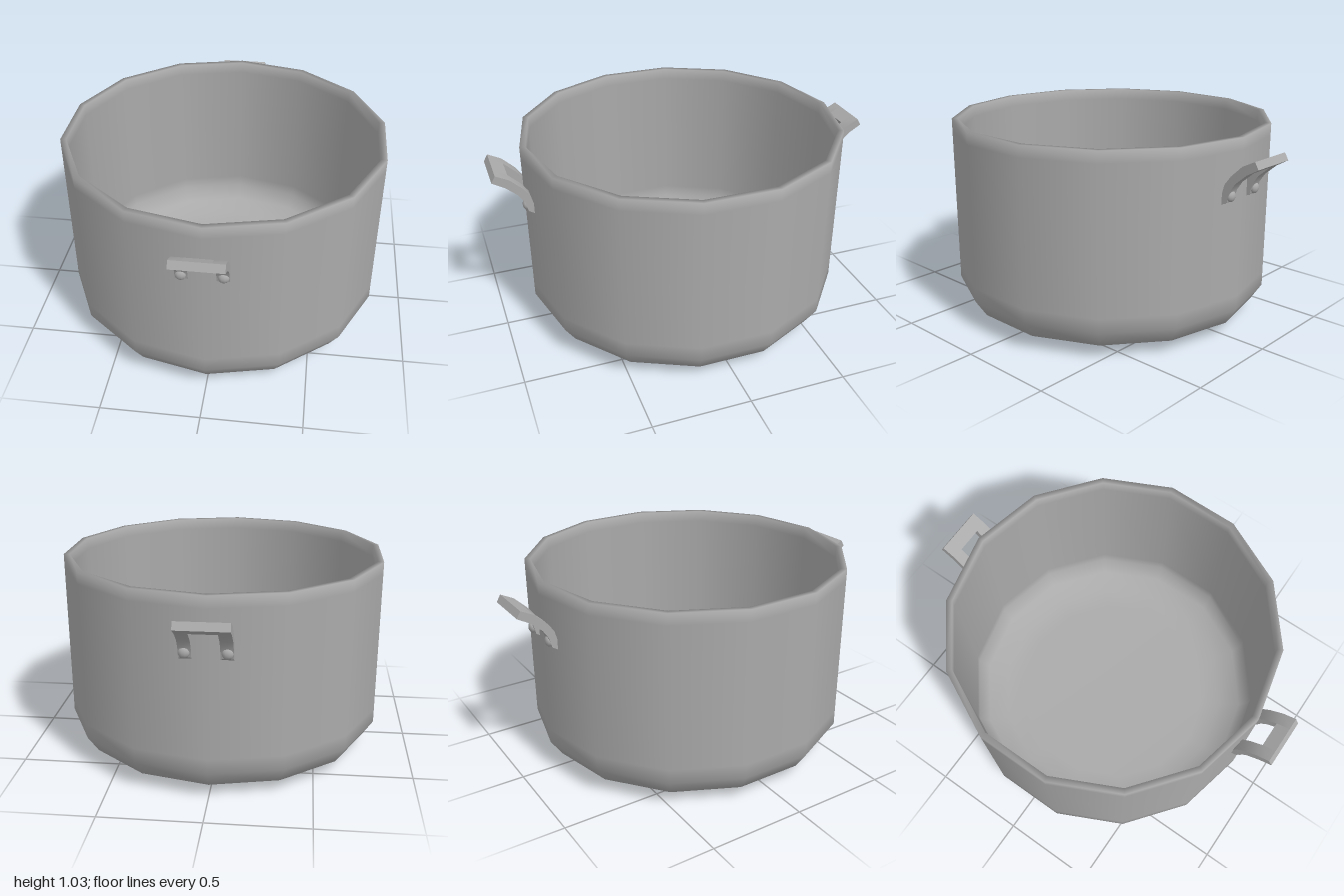
import * as THREE from 'three';
import { toCreasedNormals } from 'three/addons/utils/BufferGeometryUtils.js';

const SIDES = 14;

// Handle side curves as [z, y], from the outer tip down to the foot
const upperCurve = [[0.98, 0.96], [0.915, 0.927], [0.855, 0.87], [0.822, 0.825], [0.81, 0.78], [0.81, 0.725]];
const lowerCurve = [[1.0, 0.925], [0.94, 0.89], [0.88, 0.838], [0.852, 0.795], [0.842, 0.76], [0.838, 0.742]];

// Extrudes the first `count` points of the handle curves from x0 to x1
function handleStrip(count, x0, x1) {
  const outline = [...upperCurve.slice(0, count), ...lowerCurve.slice(0, count).reverse()];
  const shape = new THREE.Shape(outline.map(([z, y]) => new THREE.Vector2(z, y)));
  const geometry = new THREE.ExtrudeGeometry(shape, { depth: x1 - x0, bevelEnabled: false });
  geometry.rotateY(-Math.PI / 2);
  geometry.translate(x1, 0, 0);
  return toCreasedNormals(geometry, 0.8);
}

export function createModel() {
  const model = new THREE.Group();
  model.name = 'cookingPot';
  const metal = new THREE.MeshStandardMaterial({ color: 0xaaaaaa });
  metal.name = 'grey metal';

  const add = (parent, name, geometry) => {
    const mesh = new THREE.Mesh(geometry, metal);
    mesh.name = name;
    parent.add(mesh);
    return mesh;
  };

  // Pot body: outer shell, rim and inner shell in one turned profile
  const profile = [
    [0, 0], [0.55, 0], [0.66, 0.025], [0.778, 0.068], [0.835, 0.155], [0.835, 0.23], [0.835, 0.97],
    [0.835, 1.03], [0.805, 1.03],
    [0.805, 0.97], [0.805, 0.23], [0.805, 0.165], [0.755, 0.09], [0.645, 0.052], [0.54, 0.03], [0, 0.03],
  ].map(([r, y]) => new THREE.Vector2(r, y));
  add(model, 'potBody', new THREE.LatheGeometry(profile, SIDES));

  // Two curved U-shaped handles, front and back
  for (const [name, angle] of [['frontHandle', 0], ['backHandle', Math.PI]]) {
    const handle = new THREE.Group();
    handle.name = name;
    add(handle, 'grip', handleStrip(2, -0.065, 0.065));
    add(handle, 'leftLeg', handleStrip(upperCurve.length, 0.065, 0.125));
    add(handle, 'rightLeg', handleStrip(upperCurve.length, -0.125, -0.065));
    // Domed rivets on the feet
    for (const side of [-1, 1]) {
      const rivet = add(handle, side > 0 ? 'leftRivet' : 'rightRivet', new THREE.SphereGeometry(0.028, 10, 8));
      rivet.position.set(side * 0.098, 0.768, 0.842);
      rivet.scale.z = 0.7;
    }
    handle.rotation.y = angle;
    model.add(handle);
  }
  return model;
}
